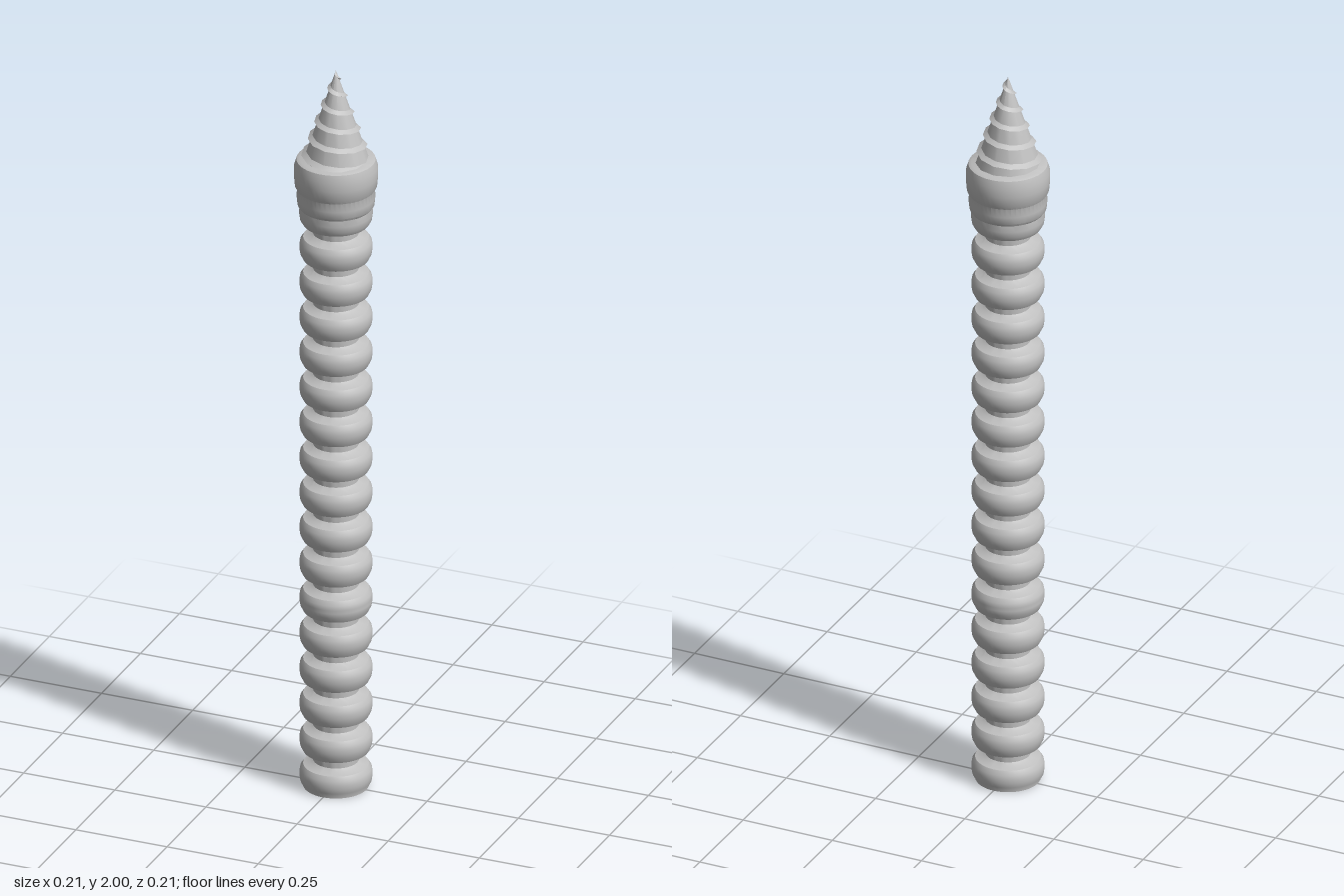
import * as THREE from 'three';
import { toCreasedNormals } from 'three/addons/utils/BufferGeometryUtils.js';

const SEGMENTS = 48;
const RING_COUNT = 16;
const RING_PITCH = 0.0984;
const CORE = 0.058;
const CONE_BASE = 1.75;
const coneRadius = (y) => 0.085 * (2 - y) / 0.25;

// Turned solid from [radius, height] pairs, bottom to top
function turned(name, profile, material, segments = SEGMENTS) {
  const points = profile.map(([r, y]) => new THREE.Vector2(r, y));
  const geometry = toCreasedNormals(new THREE.LatheGeometry(points, segments), 0.6);
  const mesh = new THREE.Mesh(geometry, material);
  mesh.name = name;
  return mesh;
}

// Wedge-shaped ridge winding down the cone, its lower end sunk into the collar
function threadGeometry() {
  const sides = 12, steps = 64;
  const positions = [], indices = [];
  for (let i = 0; i <= steps; i++) {
    const t = i / steps;
    const a = (i / sides) * Math.PI * 2;
    const y = 1.992 - t * 0.247;
    const depth = 0.006 + 0.004 * t;
    const section = [
      [coneRadius(y + 0.012) - 0.003, y + 0.012],
      [coneRadius(y) + depth, y],
      [coneRadius(y) - 0.004, y - 0.004],
    ];
    for (const [r, h] of section) {
      const radius = Math.max(r, 0);
      positions.push(radius * Math.sin(a), h, radius * Math.cos(a));
    }
    if (i === steps) continue;
    for (let k = 0; k < 2; k++) {
      const p = i * 3 + k, q = p + 3;
      indices.push(p + 1, q + 1, q, p + 1, q, p);
    }
  }
  const geometry = new THREE.BufferGeometry();
  geometry.setAttribute('position', new THREE.Float32BufferAttribute(positions, 3));
  geometry.setIndex(indices);
  return toCreasedNormals(geometry, 0.6);
}

export function createModel() {
  const model = new THREE.Group();
  model.name = 'ribbedScrew';
  const metal = new THREE.MeshStandardMaterial({ color: 0xc0c0c0 });
  metal.name = 'light grey metal';

  // Shaft: slim core with evenly spaced rounded rings, the lowest cut flat
  const ring = [
    [CORE, -0.04], [0.066, -0.035], [0.083, -0.031], [0.0905, -0.016], [0.0925, -0.003],
    [0.0925, 0.006], [0.0905, 0.018], [0.083, 0.029], [0.066, 0.034], [CORE, 0.04],
  ];
  const shaft = [[0, 0], [0.083, 0]];
  for (let i = 0; i < RING_COUNT; i++) {
    const y = 0.032 + i * RING_PITCH;
    for (const [r, h] of ring) {
      if (y + h > 0) shaft.push([r, y + h]);
    }
  }
  shaft.push([CORE, 1.59]);
  model.add(turned('ribbedShaft', shaft, metal));

  // Collar: three stacked bands widening into a rounded shoulder
  model.add(turned('collar', [
    [CORE, 1.57], [0.084, 1.576], [0.091, 1.588], [0.0935, 1.605], [0.092, 1.622],
    [0.0975, 1.63], [0.0995, 1.65], [0.0985, 1.673], [0.104, 1.682],
    [0.1065, 1.71], [0.106, 1.735], [0.1, 1.754], [0.092, 1.758], [0, 1.759],
  ], metal));

  // Point: cone with a spiral thread
  model.add(turned('pointCone', [
    [coneRadius(CONE_BASE), CONE_BASE], [coneRadius(1.9), 1.9], [0.004, 1.99], [0, 2],
  ], metal, 12));
  const thread = new THREE.Mesh(threadGeometry(), metal);
  thread.name = 'pointThread';
  model.add(thread);

  return model;
}
